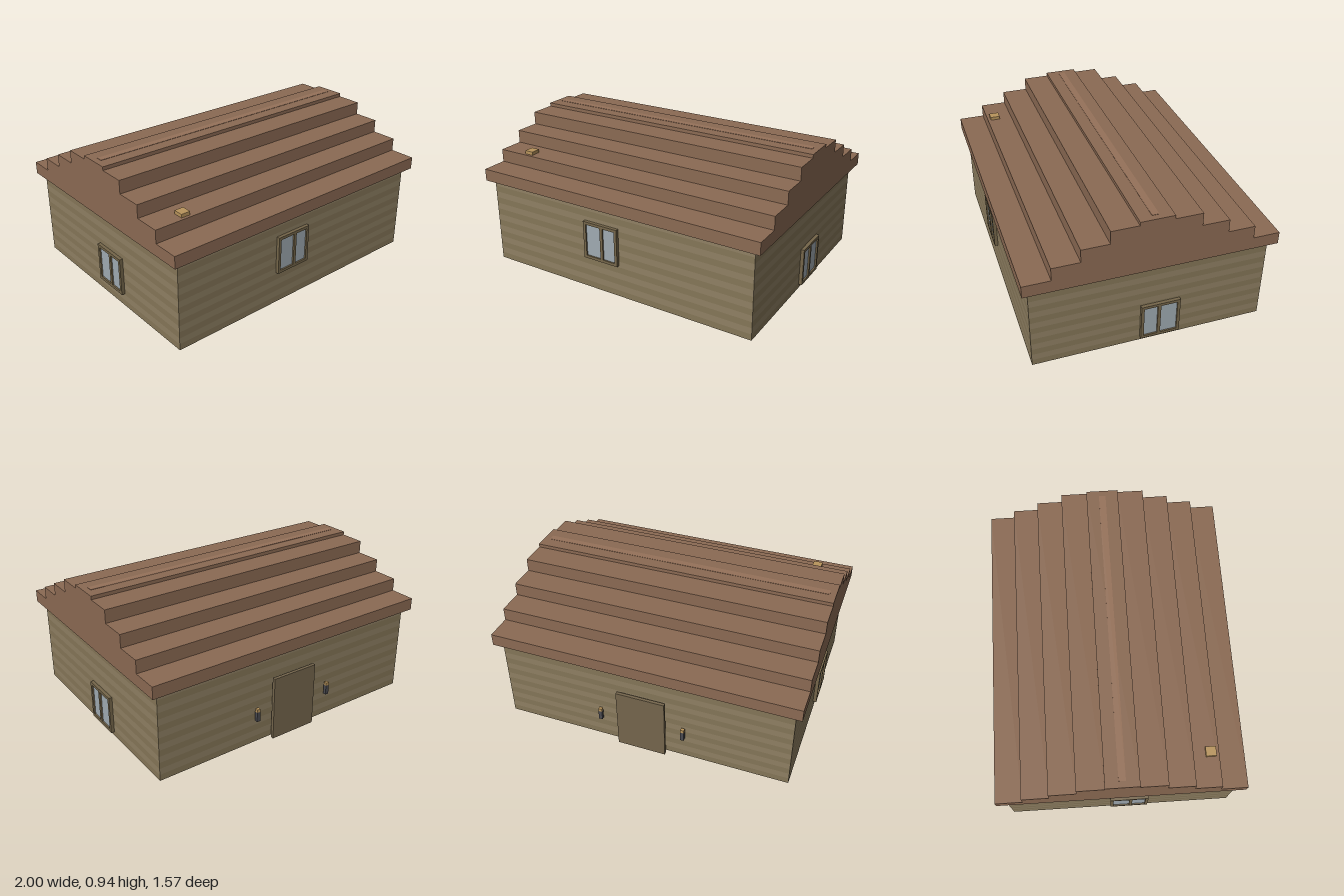
import * as THREE from 'three';

const mat = (color) => new THREE.MeshStandardMaterial({ color });

const MATS = {
  wallLight: mat(0x8f8063),
  wallDark: mat(0x857658),
  trim: mat(0x75664a),
  door: mat(0x75664d),
  roof: mat(0x8b6a53),
  ridge: mat(0x96725a),
  glass: mat(0xa0abb2),
  tan: mat(0xb8945c),
  iron: mat(0x4a4a50),
};

// Box given by its minimum and maximum corners
function box(name, material, x0, x1, y0, y1, z0, z1) {
  const mesh = new THREE.Mesh(new THREE.BoxGeometry(x1 - x0, y1 - y0, z1 - z0), material);
  mesh.position.set((x0 + x1) / 2, (y0 + y1) / 2, (z0 + z1) / 2);
  mesh.name = name;
  return mesh;
}

function rectPath(PathType, x0, x1, y0, y1) {
  const p = new PathType();
  p.moveTo(x0, y0).lineTo(x1, y0).lineTo(x1, y1).lineTo(x0, y1).closePath();
  return p;
}

// Two-pane window on the local xy plane, facing +z; bar is the mullion offset
function createWindow(name, bar) {
  const group = new THREE.Group();
  group.name = name;
  const h = 0.126, inner = 0.107;
  const shape = rectPath(THREE.Shape, -h, h, -h, h);
  shape.holes.push(
    rectPath(THREE.Path, -inner, bar - 0.01, -inner, inner),
    rectPath(THREE.Path, bar + 0.01, inner, -inner, inner),
  );
  const frame = new THREE.Mesh(
    new THREE.ExtrudeGeometry(shape, { depth: 0.022, bevelEnabled: false }), MATS.trim);
  frame.name = 'windowFrame';
  group.add(frame, box('windowGlass', MATS.glass, -0.115, 0.115, -0.115, 0.115, 0, 0.012));
  return group;
}

// Stepped gable roof: one profile in the zy plane swept along x
function createRoof() {
  const base = 0.58;
  const steps = [[0.785, 0.66], [0.615, 0.745], [0.445, 0.83], [0.275, 0.915], [0.105, 0.938]];
  const half = [];
  let y = base;
  for (const [z, top] of steps) {
    half.push([z, y], [z, top]);
    y = top;
  }
  const mirrored = half.map(([z, v]) => [-z, v]).reverse();
  const shape = new THREE.Shape([...half, ...mirrored].map(([z, v]) => new THREE.Vector2(z, v)));
  const geometry = new THREE.ExtrudeGeometry(shape, { depth: 2, bevelEnabled: false });
  geometry.translate(0, 0, -1).rotateY(Math.PI / 2);
  const roof = new THREE.Mesh(geometry, MATS.roof);
  roof.name = 'steppedRoof';
  return roof;
}

export function createModel() {
  const model = new THREE.Group();
  model.name = 'house';

  // Walls as alternating plank courses
  const walls = new THREE.Group();
  walls.name = 'walls';
  const courses = 14, wallTop = 0.58;
  for (let i = 0; i < courses; i++) {
    walls.add(box('plankCourse', i % 2 ? MATS.wallLight : MATS.wallDark,
      -0.957, 0.953, (i * wallTop) / courses, ((i + 1) * wallTop) / courses, -0.743, 0.745));
  }
  model.add(walls);

  // Roof, ridge strip and small roof block
  model.add(
    createRoof(),
    box('ridgeStrip', MATS.ridge, -0.96, 0.96, 0.93, 0.94, -0.022, 0.022),
    box('roofBlock', MATS.tan, -0.81, -0.75, 0.74, 0.767, 0.53, 0.595),
  );

  // Windows on the front and both ends
  const front = createWindow('frontWindow', 0.01);
  front.position.set(-0.09, 0.345, 0.745);
  const left = createWindow('leftWindow', -0.01);
  left.position.set(0.953, 0.152, -0.061);
  left.rotation.y = Math.PI / 2;
  const right = createWindow('rightWindow', 0.01);
  right.position.set(-0.957, 0.216, 0.055);
  right.rotation.y = -Math.PI / 2;
  model.add(front, left, right);

  // Back door with its outer panel
  model.add(
    box('doorFrame', MATS.trim, -0.14, 0.14, 0, 0.405, -0.765, -0.742),
    box('backDoor', MATS.door, -0.16, 0.16, 0, 0.425, -0.785, -0.764),
  );

  // Lamps beside the door
  for (const x of [-0.277, 0.277]) {
    const lamp = new THREE.Group();
    lamp.name = 'doorLamp';
    lamp.add(
      box('lampBody', MATS.iron, x - 0.012, x + 0.012, 0.17, 0.235, -0.785, -0.764),
      box('lampCap', MATS.tan, x - 0.012, x + 0.012, 0.235, 0.255, -0.785, -0.764),
    );
    model.add(lamp);
  }
  return model;
}
